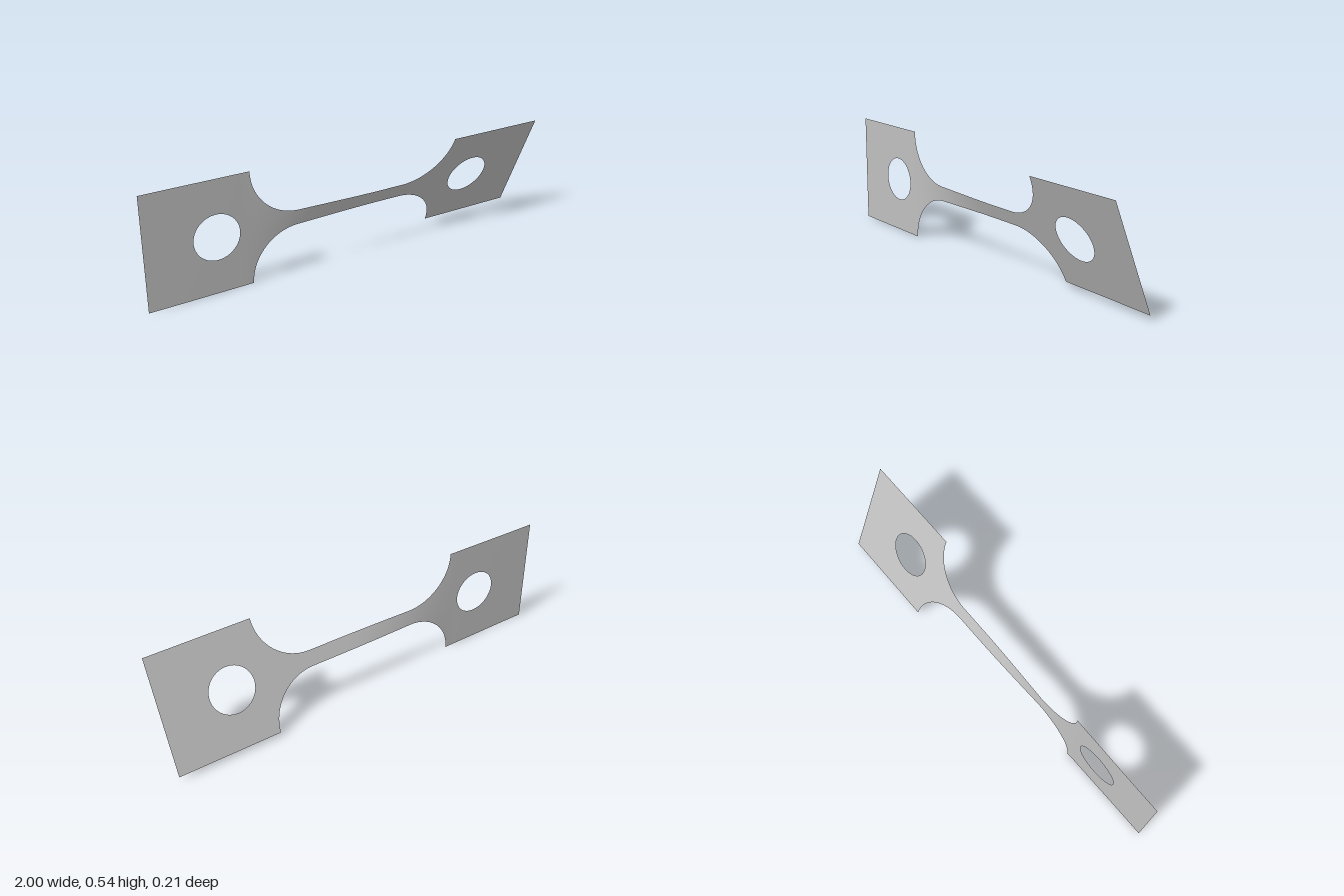
import * as THREE from 'three';

const HALF = 0.271;         // half height of the grips, also the centre height
const NECK = 0.038;         // half height of the narrow bar
const SHOULDER = 0.506;     // where the grips meet the fillets
const FILLET = HALF - NECK; // fillet radius
const HOLE_X = 0.67, HOLE_R = 0.108;
const ROWS = 8;

// Twist angle about the long axis, nearly all of it in the bar's first half
const twist = (x) =>
  0.012 * THREE.MathUtils.smoothstep(x, -0.95, -0.5) +
  0.395 * THREE.MathUtils.smoothstep(x, -0.55, 0.15);

// Outer half height of the outline
function outer(x) {
  const d = Math.abs(x) - (SHOULDER - FILLET);
  if (d <= 0) return NECK;
  if (d >= FILLET - 1e-6) return HALF;
  return HALF - Math.sqrt(FILLET * FILLET - d * d);
}

// Half height of the round hole
function inner(x) {
  const d = Math.abs(x) - HOLE_X;
  return Math.sqrt(Math.max(0, HOLE_R * HOLE_R - d * d));
}

// Stations from a to b; ease crowds them towards the ends
function stations(a, b, n, ease = (t) => t) {
  return Array.from({ length: n + 1 }, (_, i) => a + (b - a) * ease(i / n));
}
const easeBoth = (t) => (1 - Math.cos(Math.PI * t)) / 2;

// Twisted sheet through the given stations, as a band above and one below the axis
function sheet(xs) {
  const pos = [], nor = [], idx = [];
  for (const side of [1, -1]) {
    const base = pos.length / 3;
    xs.forEach((x, i) => {
      const a = twist(x), da = (twist(x + 1e-3) - twist(x - 1e-3)) / 2e-3;
      const lo = inner(x), hi = outer(x);
      for (let j = 0; j <= ROWS; j++) {
        const s = side * (lo + (hi - lo) * j / ROWS);
        pos.push(x, HALF + s * Math.cos(a), s * Math.sin(a));
        const n = new THREE.Vector3(-s * da, -Math.sin(a), Math.cos(a)).normalize();
        nor.push(n.x, n.y, n.z);
        if (i === 0 || j === 0) continue;
        const d = base + i * (ROWS + 1) + j, c = d - 1;
        const b = d - ROWS - 1, e = b - 1;
        if (side > 0) idx.push(e, c, d, e, d, b);
        else idx.push(e, d, c, e, b, d);
      }
    });
  }
  const g = new THREE.BufferGeometry();
  g.setAttribute('position', new THREE.Float32BufferAttribute(pos, 3));
  g.setAttribute('normal', new THREE.Float32BufferAttribute(nor, 3));
  g.setIndex(idx);
  return g;
}

export function createModel() {
  const model = new THREE.Group();
  model.name = 'twistedTestStrip';
  const metal = new THREE.MeshStandardMaterial({ color: 0xc0c0c0, side: THREE.DoubleSide });
  metal.name = 'lightGreyMetal';

  const add = (name, xs) => {
    const mesh = new THREE.Mesh(sheet(xs), metal);
    mesh.name = name;
    model.add(mesh);
  };

  // Stations of one grip with its hole, from shoulder to end
  const grip = [
    ...stations(SHOULDER, HOLE_X - HOLE_R, 4).slice(0, -1),
    ...stations(HOLE_X - HOLE_R, HOLE_X + HOLE_R, 32, easeBoth),
    ...stations(HOLE_X + HOLE_R, 1, 6).slice(1),
  ];
  // Stations of one fillet, crowded towards the shoulder
  const fillet = stations(SHOULDER - FILLET, SHOULDER, 28, (t) => Math.sin(t * Math.PI / 2));
  const mirror = (xs) => xs.map((x) => -x).reverse();

  add('leftGrip', grip);
  add('rightGrip', mirror(grip));
  add('leftFillet', fillet);
  add('rightFillet', mirror(fillet));
  add('neckBar', stations(FILLET - SHOULDER, SHOULDER - FILLET, 40));
  return model;
}
